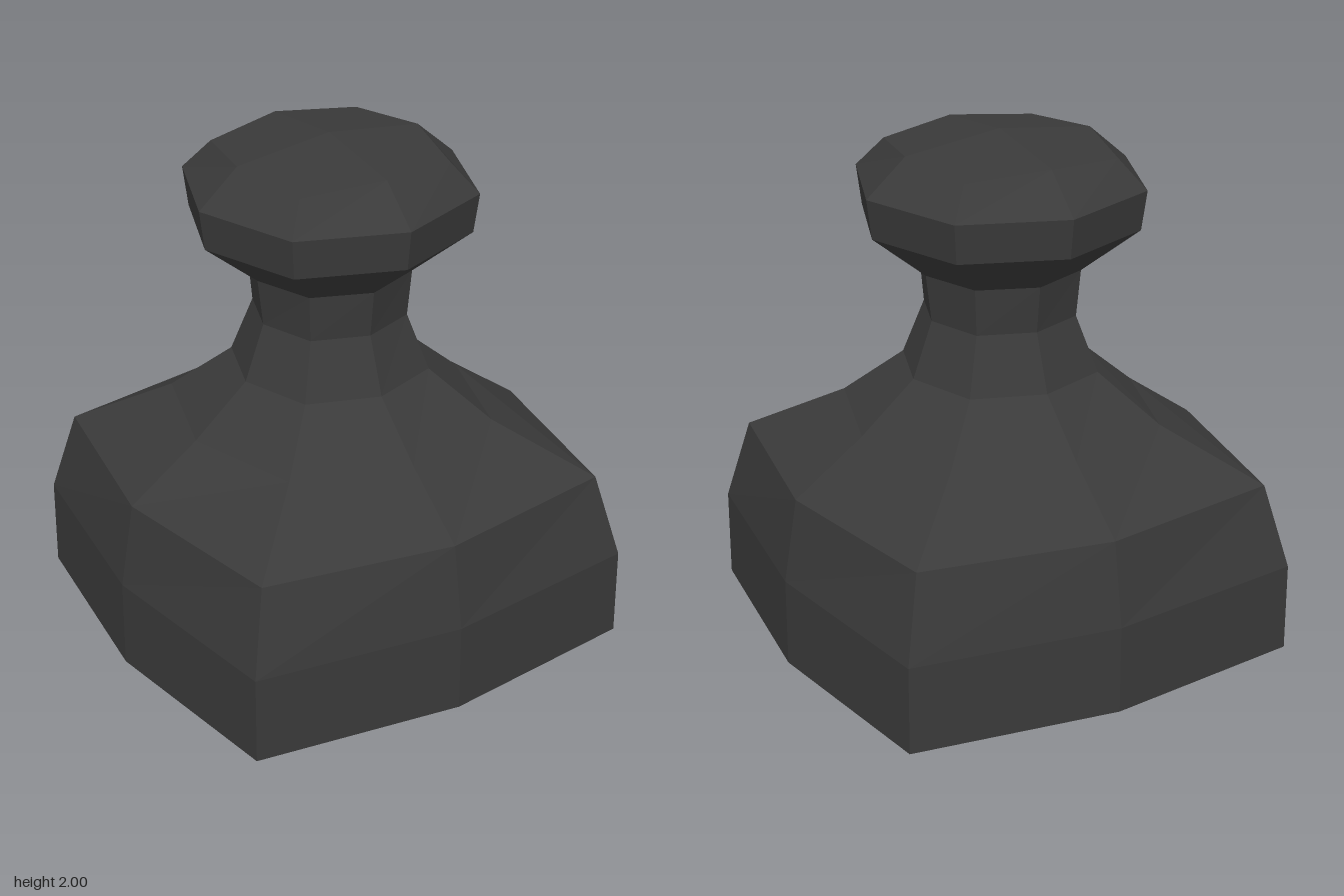
import * as THREE from 'three';

const material = new THREE.MeshStandardMaterial({ color: 0x3a3a3a, flatShading: true });

// Each ring is [height, side distance, corner distance, corner height (optional)].
// It becomes eight points alternating between side middles and corners.
function ringPoints([y, side, corner, cornerY = y]) {
  const points = [];
  for (let i = 0; i < 8; i++) {
    const isCorner = i % 2 === 1;
    const a = (i * Math.PI) / 4;
    const r = isCorner ? corner * Math.SQRT2 : side;
    points.push([Math.sin(a) * r, isCorner ? cornerY : y, Math.cos(a) * r]);
  }
  return points;
}

// Joins successive rings; a ring of zero size closes the end as a fan.
function loft(name, rings) {
  const positions = [];
  for (let k = 0; k < rings.length - 1; k++) {
    const low = ringPoints(rings[k]);
    const high = ringPoints(rings[k + 1]);
    for (let i = 0; i < 8; i++) {
      const j = (i + 1) % 8;
      if (rings[k][1] > 0) positions.push(...low[i], ...low[j], ...high[j]);
      if (rings[k + 1][1] > 0) positions.push(...low[i], ...high[j], ...high[i]);
    }
  }
  const geometry = new THREE.BufferGeometry();
  geometry.setAttribute('position', new THREE.Float32BufferAttribute(positions, 3));
  geometry.computeVertexNormals();
  const mesh = new THREE.Mesh(geometry, material);
  mesh.name = name;
  return mesh;
}

export function createModel() {
  const group = new THREE.Group();
  group.name = 'weight';

  // Bulged square block with a closed underside
  group.add(loft('base', [
    [0, 0, 0],
    [0, 0.925, 0.815],
    [0.35, 0.925, 0.815],
    [0.68, 0.87, 0.74],
  ]));

  // Sloping shoulder that narrows to the waist
  group.add(loft('shoulder', [
    [0.68, 0.87, 0.74],
    [0.88, 0.59, 0.45],
    [1.07, 0.37, 0.275],
  ]));

  // Slim neck
  group.add(loft('neck', [
    [1.07, 0.37, 0.275],
    [1.29, 0.29, 0.213],
    [1.475, 0.312, 0.225],
  ]));

  // Faceted knob with a shallow peak
  group.add(loft('knob', [
    [1.475, 0.312, 0.225],
    [1.655, 0.53, 0.385],
    [1.81, 0.55, 0.4],
    [1.95, 0.39, 0.32, 1.925],
    [2, 0, 0],
  ]));

  return group;
}
